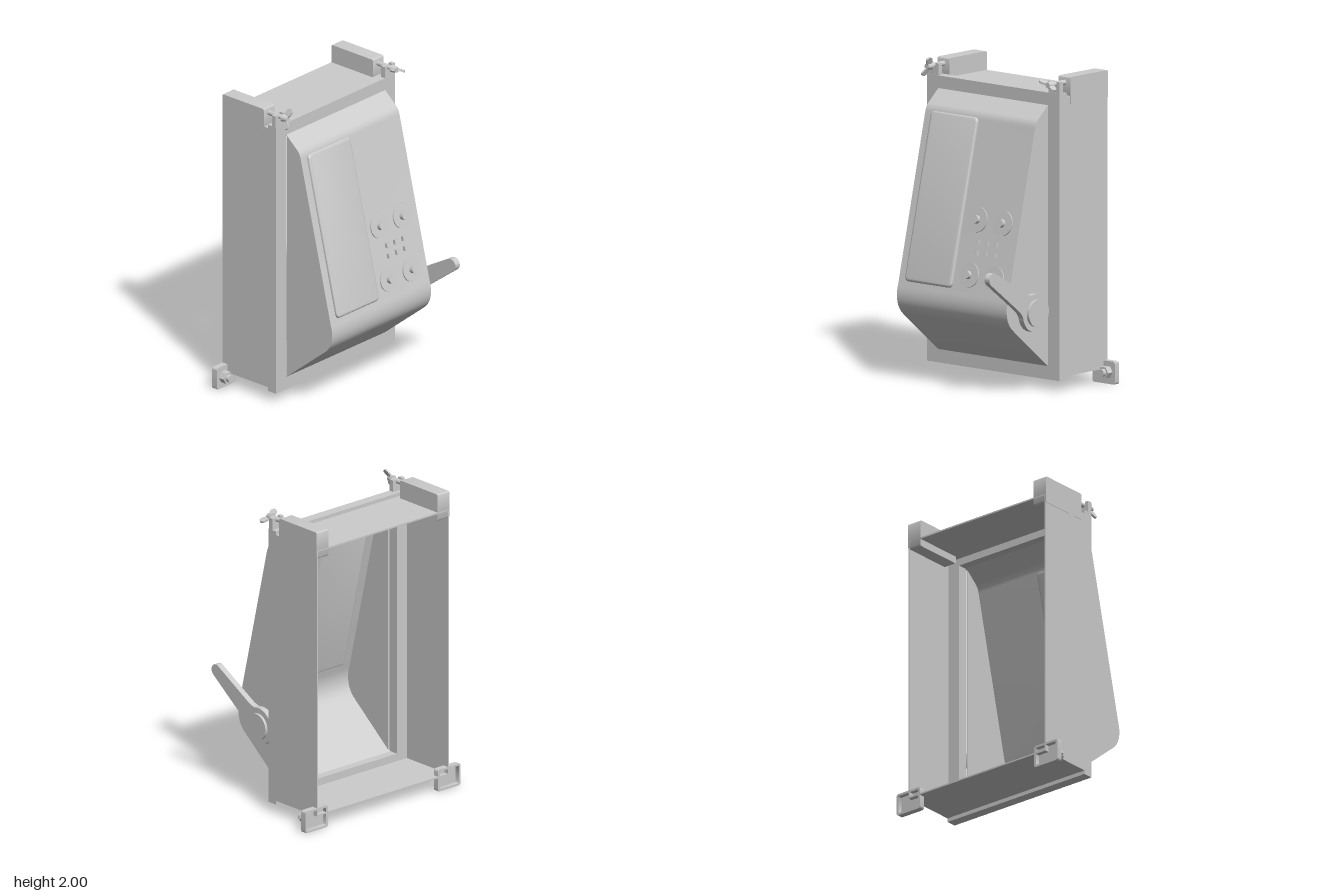
import * as THREE from 'three';
import { toCreasedNormals } from 'three/addons/utils/BufferGeometryUtils.js';

const mat = new THREE.MeshStandardMaterial({ color: 0xcccccc, side: THREE.DoubleSide });

function add(parent, name, geo, x = 0, y = 0, z = 0) {
  const m = new THREE.Mesh(geo, mat);
  m.name = name;
  m.position.set(x, y, z);
  parent.add(m);
  return m;
}

function group(parent, name, x = 0, y = 0, z = 0) {
  const g = new THREE.Group();
  g.name = name;
  g.position.set(x, y, z);
  parent.add(g);
  return g;
}

// rectangle, optionally with rounded corners
function rect(x0, x1, y0, y1, r = 0, Type = THREE.Shape) {
  const s = new Type();
  if (!r) return s.setFromPoints([[x0, y0], [x1, y0], [x1, y1], [x0, y1]].map(p => new THREE.Vector2(...p)));
  s.absarc(x1 - r, y0 + r, r, -Math.PI / 2, 0);
  s.absarc(x1 - r, y1 - r, r, 0, Math.PI / 2);
  s.absarc(x0 + r, y1 - r, r, Math.PI / 2, Math.PI);
  s.absarc(x0 + r, y0 + r, r, Math.PI, Math.PI * 1.5);
  s.closePath();
  return s;
}

const extrude = (shape, depth, opts = {}) => toCreasedNormals(
  new THREE.ExtrudeGeometry(shape, { depth, bevelEnabled: false, curveSegments: 8, ...opts }), 0.6);
// extrude towards +x; the shape's horizontal axis becomes -z
const extrudeX = (shape, depth, opts) => extrude(shape, depth, opts).rotateY(Math.PI / 2);
// cylinder along x, starting at x = 0
const rodX = (r0, r1, len, seg = 24) =>
  new THREE.CylinderGeometry(r1, r0, len, seg).rotateZ(-Math.PI / 2).translate(len / 2, 0, 0);

function coverProfile() {
  const p = new THREE.Path();
  p.moveTo(-0.07, 1.8);
  p.lineTo(0.02, 1.722);
  p.quadraticCurveTo(0.042, 1.705, 0.05, 1.67);
  p.lineTo(0.3, 0.62);
  p.bezierCurveTo(0.33, 0.53, 0.31, 0.46, 0.255, 0.415);
  p.lineTo(-0.07, 0.15);
  return p.getPoints(14);
}

function buildCover(root) {
  const cover = group(root, 'cover');
  const outer = coverProfile();
  const inner = outer.map(p => new THREE.Vector2(p.x - 0.013, p.y)).reverse();
  add(cover, 'coverSkin', extrude(new THREE.Shape([...outer, ...inner]), 0.918), 0, 0, -0.459);
  for (const z of [-0.46, 0.45]) add(cover, 'coverSide', extrude(new THREE.Shape(outer), 0.01), 0, 0, z);

  // everything on the sloping face: local x points out of it
  const face = group(cover, 'controlFace', 0.2095, 1, 0);
  face.rotation.z = Math.atan2(0.25, 1.05);
  const up = y => (y - 1) / 0.972;
  const b = 0.018;
  add(face, 'raisedPanel', extrudeX(rect(-0.405 + b, -0.01 - b, up(0.635) + b, up(1.68) - b, 0.012), 0.004,
    { bevelEnabled: true, bevelSize: b, bevelThickness: 0.014, bevelSegments: 4 }));
  for (const y of [1.07, 0.73]) for (const z of [-0.11, -0.32]) {
    const knob = group(face, 'knob', 0, up(y), z);
    add(knob, 'knobDisc', rodX(0.08, 0.08, 0.012, 40), -0.004);
    add(knob, 'knobStem', rodX(0.026, 0.026, 0.034));
  }
  for (const y of [0.935, 0.87]) for (const z of [-0.145, -0.22, -0.295])
    add(face, 'button', new THREE.BoxGeometry(0.03, 0.03, 0.028), 0.003, up(y), z);
}

function buildHandle(root) {
  const handle = group(root, 'handle', 0.085, 0.51, -0.5);
  handle.rotation.z = Math.atan2(0.262, 0.395);
  const L = 0.472, r = 0.041;
  // hub flowing into a tapering arm with a round end
  const s = new THREE.Shape();
  s.absarc(0, 0, 0.12, 0.72, Math.PI * 2 - 0.72);
  s.quadraticCurveTo(0.12, -0.062, 0.17, -0.06);
  s.lineTo(L, -r);
  s.absarc(L, 0, r, -Math.PI / 2, Math.PI / 2);
  s.lineTo(0.17, 0.06);
  s.quadraticCurveTo(0.12, 0.062, 0.12 * Math.cos(0.72), 0.12 * Math.sin(0.72));
  add(handle, 'handleArm', extrude(s, 0.04, { curveSegments: 24 }));
  add(handle, 'pivotCap', new THREE.CylinderGeometry(0.085, 0.085, 0.03, 40).rotateX(Math.PI / 2), 0, 0, -0.003);
}

function buildClamp(root, side) {
  const clamp = group(root, 'clamp', 0, 0, side * 0.5075);
  add(clamp, 'cornerBlock', extrude(rect(-0.52, -0.172, 1.8, 1.976, 0.01), 0.099), 0, 0, -0.0495);
  // slotted lug on the flange
  const lug = new THREE.Shape();
  lug.moveTo(-0.0475, 1.8);
  lug.lineTo(0.0475, 1.8);
  lug.lineTo(0.0475, 1.955);
  lug.lineTo(0.023, 1.955);
  lug.lineTo(0.023, 1.94);
  lug.absarc(0, 1.94, 0.023, 0, -Math.PI, true);
  lug.lineTo(-0.023, 1.955);
  lug.lineTo(-0.0475, 1.955);
  lug.closePath();
  add(clamp, 'lug', extrudeX(lug, 0.032), -0.106);
  add(clamp, 'rod', rodX(0.016, 0.016, 0.165), -0.18, 1.938);
  // wing nut: two lobes spread outwards from the hub
  const nut = group(clamp, 'wingNut', -0.055, 1.938, 0);
  nut.rotation.x = side > 0 ? -0.43 : 1.18;
  add(nut, 'nutHub', rodX(0.025, 0.018, 0.04));
  const wing = new THREE.Shape();
  wing.moveTo(0.005, 0.012);
  wing.bezierCurveTo(0.008, 0.035, 0.015, 0.066, 0.038, 0.068);
  wing.bezierCurveTo(0.072, 0.066, 0.068, 0.035, 0.035, 0.008);
  wing.closePath();
  const wingGeo = extrude(wing, 0.012).translate(0, 0, -0.006);
  add(nut, 'wing', wingGeo);
  add(nut, 'wing', wingGeo).rotation.x = Math.PI;
}

function buildFoot(root, side) {
  const foot = group(root, 'foot', -0.52, 0.0725, side * 0.557);
  const w = 0.094, h = 0.0725;
  const rim = rect(-w, w, -h, h, 0.014);
  rim.holes.push(rect(-w + 0.014, w - 0.014, -h + 0.014, h - 0.014, 0.006, THREE.Path));
  add(foot, 'footRim', extrudeX(rim, 0.03));
  add(foot, 'footPlate', extrudeX(rect(-w, w, -h, h, 0.014), 0.01), 0.03);
  add(foot, 'hexNut', rodX(0.04, 0.04, 0.042, 6).toNonIndexed(), 0.04, 0.004, side * 0.036).geometry.computeVertexNormals();
  add(foot, 'boltEnd', rodX(0.024, 0.024, 0.07), 0.036, 0.004, side * 0.036);
}

export function createModel() {
  const root = new THREE.Group();
  root.name = 'controlBox';

  // housing open at the back, and the frame the cover sits on
  const shell = rect(-0.555, 0.555, 0.09, 1.857);
  shell.holes.push(rect(-0.545, 0.545, 0.1, 1.847, 0, THREE.Path));
  add(root, 'housing', extrudeX(shell, 0.38), -0.52);
  const frame = rect(-0.555, 0.555, 0.065, 1.88);
  frame.holes.push(rect(-0.46, 0.46, 0.15, 1.8, 0, THREE.Path));
  add(root, 'frame', extrudeX(frame, 0.068), -0.14);

  buildCover(root);
  buildHandle(root);
  for (const side of [1, -1]) {
    buildClamp(root, side);
    buildFoot(root, side);
  }
  return root;
}
